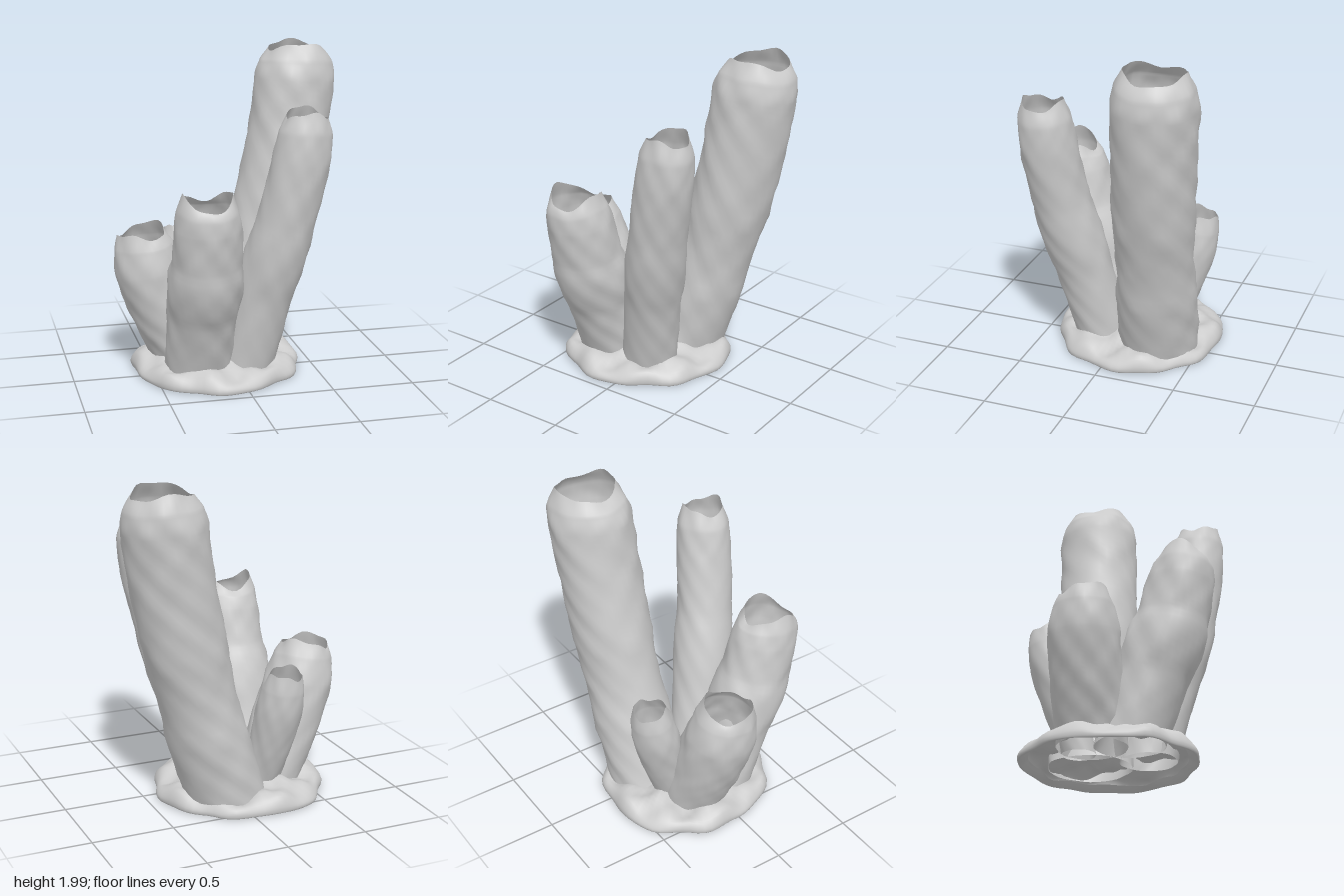
import * as THREE from 'three';

const material = new THREE.MeshStandardMaterial({ color: 0xcccccc, side: THREE.DoubleSide });

// Smooth skin over closed rings of points; point(angle, v) gives a point of the ring at height v
function skin(name, cols, rows, point) {
  const positions = [], index = [];
  for (let j = 0; j <= rows; j++) {
    for (let i = 0; i < cols; i++) positions.push(...point(i / cols * Math.PI * 2, j / rows));
  }
  for (let j = 0; j < rows; j++) {
    for (let i = 0; i < cols; i++) {
      const a = j * cols + i, b = j * cols + (i + 1) % cols;
      index.push(a, a + cols, b, b, a + cols, b + cols);
    }
  }
  const geometry = new THREE.BufferGeometry();
  geometry.setAttribute('position', new THREE.Float32BufferAttribute(positions, 3));
  geometry.setIndex(index);
  geometry.computeVertexNormals();
  const mesh = new THREE.Mesh(geometry, material);
  mesh.name = name;
  return mesh;
}

// Soft, scattered lumps around and along a tube
function lumps(angle, along, seed) {
  return 0.5 * Math.sin(3 * angle + along * 5 + seed)
    + 0.6 * Math.sin(5 * angle + seed * 2.3) * Math.sin(along * 17 + seed)
    + 0.6 * Math.sin(7 * angle + seed * 1.7 + along * 4) * Math.sin(along * 25 + seed * 3)
    + 0.5 * Math.sin(9 * angle - along * 6 + seed * 3.1) * Math.sin(along * 36 + seed * 5);
}

// Hollow leaning tube; each station is [x, y, z, radius]; the rim rises by wave at angle phase / 2
function tube(name, stations, wave, phase, seed) {
  const path = new THREE.CatmullRomCurve3(stations.map(s => new THREE.Vector3(s[0], s[1], s[2])));
  const radii = new THREE.CatmullRomCurve3(stations.map(s => new THREE.Vector3(s[3], 0, 0)));
  return skin(name, 36, 48, (angle, v) => {
    const p = path.getPoint(v), t = path.getTangent(v);
    const r = radii.getPoint(v).x * (1 + 0.025 * lumps(angle, p.y, seed));
    const dx = Math.cos(angle) * r, dz = -Math.sin(angle) * r;
    // rings tip with the lean, and the rim is scalloped
    const tip = -0.6 * (t.x * dx + t.z * dz) / Math.max(t.y, 0.3);
    const scallop = Math.pow(v, 6) * (wave * Math.cos(2 * angle - phase) + 0.008 * Math.sin(5 * angle + seed));
    return [p.x + dx, Math.max(0.02, p.y + tip * Math.min(1, v * 4) + scallop), p.z + dz];
  });
}

export function createModel() {
  const group = new THREE.Group();
  group.name = 'tubeCluster';

  group.add(
    tube('tallTube', [[0.06, 0.06, -0.255, 0.25], [0.2, 0.5, -0.285, 0.245], [0.335, 1, -0.315, 0.245],
      [0.43, 1.45, -0.34, 0.247], [0.475, 1.76, -0.358, 0.25], [0.49, 1.88, -0.365, 0.228], [0.495, 1.965, -0.37, 0.178]], 0.025, Math.PI, 0.6),
    tube('frontLeftTube', [[0.05, 0.06, 0.11, 0.17], [0.14, 0.55, 0.21, 0.172], [0.24, 1, 0.305, 0.172],
      [0.318, 1.38, 0.35, 0.17], [0.342, 1.56, 0.36, 0.157], [0.352, 1.665, 0.365, 0.12]], 0.025, Math.PI, 2.1),
    tube('frontRightTube', [[-0.245, 0.06, 0.09, 0.205], [-0.245, 0.45, 0.225, 0.208], [-0.245, 0.8, 0.35, 0.208],
      [-0.25, 1.03, 0.405, 0.198], [-0.255, 1.13, 0.425, 0.18], [-0.255, 1.2, 0.432, 0.147]], 0.043, 0, 3.9),
    tube('sideTube', [[-0.28, 0.06, -0.125, 0.205], [-0.405, 0.38, -0.11, 0.21], [-0.51, 0.66, -0.095, 0.208],
      [-0.545, 0.82, -0.085, 0.178], [-0.56, 0.9, -0.078, 0.143]], 0.025, Math.PI / 2, 5.2),
    tube('smallTube', [[-0.19, 0.06, -0.235, 0.1], [-0.215, 0.33, -0.31, 0.125], [-0.24, 0.58, -0.375, 0.14],
      [-0.25, 0.73, -0.41, 0.125], [-0.255, 0.83, -0.43, 0.098]], 0.015, Math.PI / 2, 1.3),
  );

  // Lumpy spreading foot, open below with a thin rolled lip; [radius, height]
  const foot = new THREE.CatmullRomCurve3([
    [0.46, 0.045], [0.49, 0.025], [0.515, 0.015], [0.52, 0.045], [0.49, 0.09],
    [0.42, 0.115], [0.32, 0.125], [0.2, 0.165], [0.09, 0.22], [0.002, 0.24],
  ].map(([r, y]) => new THREE.Vector3(r, y, 0)));
  group.add(skin('foot', 72, 36, (angle, v) => {
    const p = foot.getPoint(v);
    const outline = 1 + 0.018 * Math.sin(3 * angle + 1) + 0.018 * Math.sin(7 * angle) + 0.014 * Math.sin(11 * angle + 2);
    const r = p.x * outline;
    const swell = 1 + Math.min(1, r * 2.5) * (0.17 * Math.sin(5 * angle + r * 12)
      + 0.13 * Math.sin(9 * angle - r * 17 + 1) + 0.08 * Math.sin(14 * angle + r * 30));
    const x = -0.1 + Math.cos(angle) * r, z = -0.08 - Math.sin(angle) * r;
    return [x, Math.max(0, p.y * swell - 0.008), z];
  }));

  return group;
}
